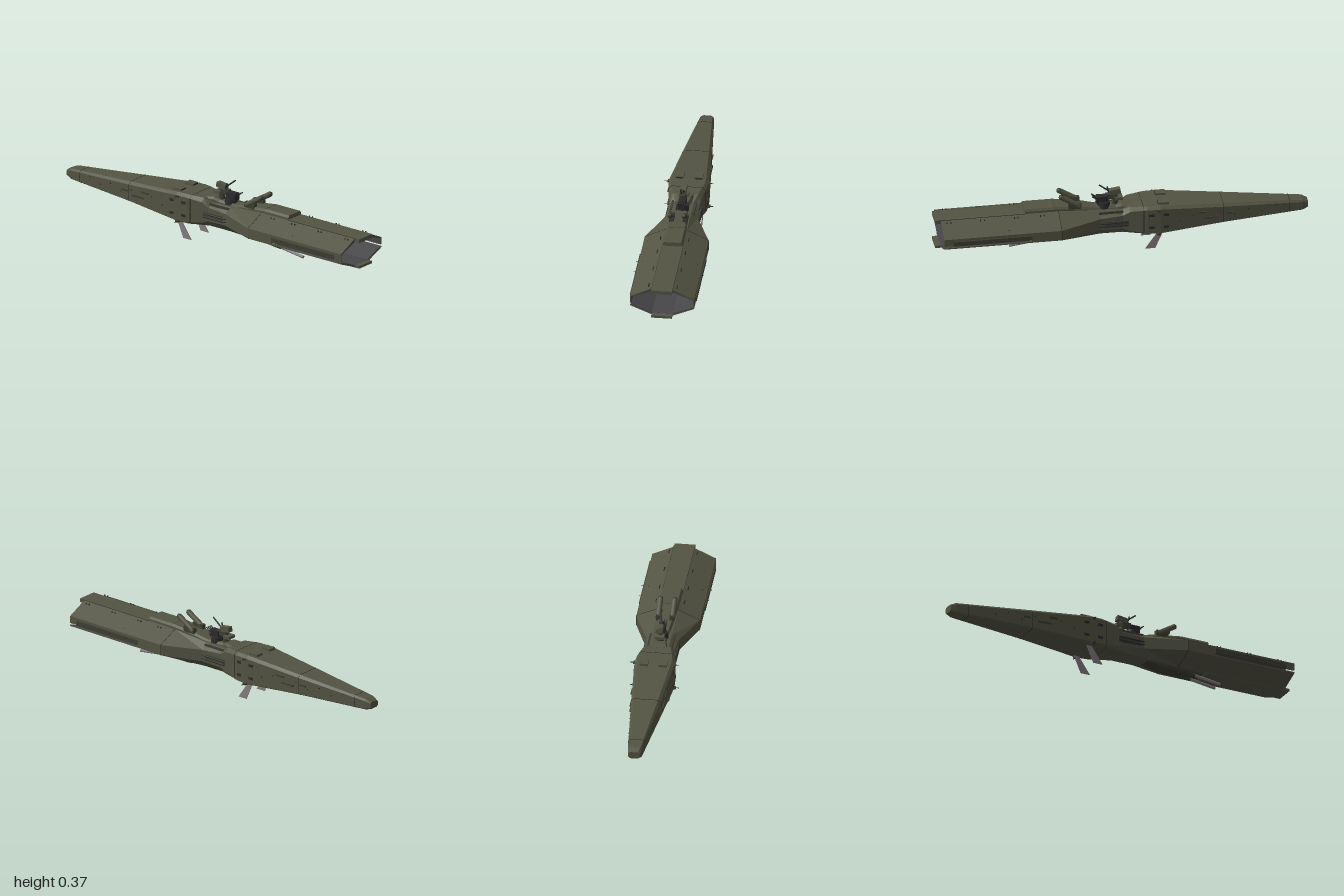
import * as THREE from 'three';

const mat = (name, color, side = THREE.FrontSide) => {
  const m = new THREE.MeshStandardMaterial({ color, side });
  m.name = name;
  return m;
};

// Hull stations: z, top half-width, top y, side half-width, side top y, side bottom y, bottom half-width, bottom y
const STATIONS = [
  [-1.0, 0.02, 0.183, 0.03, 0.175, 0.152, 0.02, 0.145],
  [-0.97, 0.03, 0.195, 0.037, 0.185, 0.142, 0.028, 0.135],
  [-0.54, 0.064, 0.231, 0.078, 0.217, 0.126, 0.062, 0.117],
  [-0.2, 0.09, 0.259, 0.106, 0.245, 0.104, 0.09, 0.094],
  [-0.13, 0.086, 0.259, 0.102, 0.244, 0.106, 0.086, 0.095],
  [-0.04, 0.066, 0.255, 0.086, 0.235, 0.12, 0.07, 0.103],
  [0.0, 0.05, 0.232, 0.08, 0.212, 0.135, 0.06, 0.105],
  [0.12, 0.05, 0.235, 0.086, 0.205, 0.14, 0.056, 0.103],
  [0.34, 0.055, 0.255, 0.17, 0.2, 0.143, 0.055, 0.095],
  [0.5, 0.055, 0.255, 0.17, 0.2, 0.143, 0.055, 0.095],
];

// Interpolated station at any z
function stationAt(z) {
  let i = 0;
  while (i < STATIONS.length - 2 && STATIONS[i + 1][0] < z) i++;
  const a = STATIONS[i], b = STATIONS[i + 1], t = (z - a[0]) / (b[0] - a[0]);
  return a.map((v, k) => v + (b[k] - v) * t);
}

// Counter-clockwise ring, optionally pushed outwards
function ring([z, tw, ty, sw, st, sb, bw, by], g = 0) {
  const half = [[bw + g / 2, by - g], [sw + g, sb - g / 2], [sw + g, st + g / 2], [tw + g / 2, ty + g]];
  const left = half.slice().reverse().map(([x, y]) => [-x, y]);
  return [...half, ...left].map(([x, y]) => [x, y, z]);
}

// Flat-shaded loft through rings running towards +z, closed at both ends
function loft(rings) {
  const n = rings[0].length, idx = [];
  for (let i = 0; i < rings.length - 1; i++)
    for (let j = 0; j < n; j++) {
      const a = i * n + j, b = i * n + (j + 1) % n;
      idx.push(a, b, b + n, a, b + n, a + n);
    }
  const e = (rings.length - 1) * n;
  for (let j = 1; j < n - 1; j++) idx.push(0, j + 1, j, e, e + j, e + j + 1);
  const g = new THREE.BufferGeometry();
  g.setAttribute('position', new THREE.Float32BufferAttribute(rings.flat(2), 3));
  g.setIndex(idx);
  const flat = g.toNonIndexed();
  flat.computeVertexNormals();
  return flat;
}

// Half profile mirrored across x = 0 and extruded along z
function prism(half, z0, z1) {
  const pts = [...half, ...half.slice().reverse().map(([x, y]) => [-x, y])];
  const shape = new THREE.Shape(pts.map(([x, y]) => new THREE.Vector2(x, y)));
  const g = new THREE.ExtrudeGeometry(shape, { depth: z1 - z0, bevelEnabled: false });
  return g.translate(0, 0, z0);
}

export function createModel() {
  const root = new THREE.Group();
  root.name = 'spaceship';
  const hull = mat('olive hull', 0x535443);
  const trim = mat('dark olive', 0x3d3e33);
  const dark = mat('dark steel', 0x2b2b2b);
  const inner = mat('grey lining', 0x47474a);
  const glow = mat('engine yellow', 0xd8cd22);
  const pale = mat('pale grey', 0x857e82, THREE.DoubleSide);

  const add = (name, geo, m) => {
    const mesh = new THREE.Mesh(geo, m);
    mesh.name = name;
    root.add(mesh);
    return mesh;
  };
  const box = (name, m, x, y, z, w, h, d) => {
    const b = add(name, new THREE.BoxGeometry(w, h, d), m);
    b.position.set(x, y, z);
    return b;
  };
  // Round bar between two points
  const bar = (name, m, a, b, r0, r1 = r0, sides = 12) => {
    const p = new THREE.Vector3(...a), q = new THREE.Vector3(...b), d = q.clone().sub(p);
    const c = add(name, new THREE.CylinderGeometry(r1, r0, d.length(), sides), m);
    c.position.copy(p).add(q).multiplyScalar(0.5);
    c.quaternion.setFromUnitVectors(new THREE.Vector3(0, 1, 0), d.normalize());
    return c;
  };

  // Bow, neck and shoulders
  add('mainHull', loft(STATIONS.map((s) => ring(s))), hull);
  for (const z of [-0.9, -0.54, -0.11, 0.34])
    add('panelSeam', loft([ring(stationAt(z - 0.0015), 0.0008), ring(stationAt(z + 0.0015), 0.0008)]), dark);

  // Open engine shell, split along the sides
  add('upperShell', prism([[0.055, 0.255], [0.17, 0.2], [0.17, 0.16], [0.167, 0.16], [0.167, 0.197], [0.055, 0.249]].reverse(), 0.5, 0.97), hull);
  add('lowerShell', prism([[0.055, 0.095], [0.17, 0.143], [0.17, 0.15], [0.167, 0.15], [0.167, 0.146], [0.055, 0.101]], 0.5, 0.97), hull);
  add('upperLining', prism([[0.055, 0.235], [0.163, 0.194], [0.163, 0.16], [0.1669, 0.16], [0.1669, 0.197], [0.055, 0.249]], 0.5, 0.968), inner);
  add('lowerLining', prism([[0.055, 0.101], [0.1669, 0.146], [0.1669, 0.15], [0.163, 0.15], [0.055, 0.107]], 0.5, 0.968), inner);
  add('engineGlow', prism([[0.055, 0.107], [0.163, 0.15], [0.163, 0.194], [0.055, 0.235]], 0.501, 0.506), glow);
  box('topSpine', hull, 0, 0.2465, 0.752, 0.11, 0.021, 0.496);
  box('bottomSpine', hull, 0, 0.0995, 0.752, 0.11, 0.013, 0.496);

  // Raised deck house with a sloped leading end
  const deck = (z, w, y) => [[w, 0.225, z], [w, y - 0.012, z], [w - 0.008, y, z], [-w + 0.008, y, z], [-w, y - 0.012, z], [-w, 0.225, z]];
  add('deckHouse', loft([deck(0.1, 0.034, 0.238), deck(0.21, 0.044, 0.262), deck(0.36, 0.054, 0.279), deck(0.52, 0.054, 0.279)]), hull);
  box('deckSeam', trim, 0, 0.2792, 0.36, 0.09, 0.001, 0.003);

  // Belly box with twin guns
  const belly = (z, w, y) => [[w, y, z], [w + 0.01, 0.11, z], [-w - 0.01, 0.11, z], [-w, y, z]];
  add('bellyHousing', loft([belly(0.16, 0.03, 0.1), belly(0.26, 0.036, 0.08), belly(0.42, 0.036, 0.08), belly(0.5, 0.032, 0.093)]), trim);

  // Command platform in the neck
  add('towerBase', loft([deck(-0.05, 0.05, 0.256), deck(0.0, 0.04, 0.26), deck(0.03, 0.032, 0.25), deck(0.14, 0.03, 0.245)]), hull);
  bar('gunRing', dark, [0, 0.235, 0.09], [0, 0.268, 0.09], 0.036, 0.032, 16);
  box('gunCradle', dark, 0, 0.28, 0.1, 0.036, 0.04, 0.06);
  box('gunBreech', trim, 0, 0.295, 0.06, 0.024, 0.03, 0.04);
  bar('towerColumn', trim, [0, 0.25, 0.03], [0, 0.31, 0.03], 0.018, 0.014, 10);
  const head = box('towerHead', hull, 0, 0.322, 0.03, 0.03, 0.028, 0.06);
  head.rotation.x = 0.15;
  box('towerVisor', hull, 0, 0.285, 0.01, 0.05, 0.016, 0.04);
  bar('tallBarrel', dark, [0.005, 0.325, 0.06], [0.005, 0.368, 0.115], 0.004);
  bar('shortBarrel', dark, [-0.011, 0.31, 0.06], [-0.011, 0.345, 0.07], 0.004);
  for (const x of [-0.018, -0.006, 0.006, 0.018])
    bar('deckGunBarrel', dark, [x, 0.28, 0.12], [x, 0.305, 0.152], 0.003, 0.003, 8);

  for (const s of [-1, 1]) {
    // Elevated twin cannons with rounded muzzles
    bar('cannon', hull, [s * 0.038, 0.27, 0.225], [s * 0.038, 0.329, 0.322], 0.0145, 0.0145, 16);
    const cap = add('cannonMuzzle', new THREE.SphereGeometry(0.0145, 16, 10), trim);
    cap.position.set(s * 0.038, 0.329, 0.322);
    box('cannonMount', trim, s * 0.036, 0.272, 0.25, 0.024, 0.03, 0.07);
    bar('bellyGun', pale, [s * 0.027, 0.086, 0.4], [s * 0.027, 0.058, 0.6], 0.008);
    bar('bellyGunSleeve', trim, [s * 0.027, 0.088, 0.36], [s * 0.027, 0.079, 0.45], 0.011);

    // Ventral fin
    const fin = new THREE.Shape([[-0.12, 0], [-0.175, 0], [-0.218, 0.1], [-0.19, 0.1]].map(([z, y]) => new THREE.Vector2(-z, y)));
    const finMesh = add('ventralFin', new THREE.ExtrudeGeometry(fin, { depth: 0.003, bevelEnabled: false }), pale);
    finMesh.rotation.y = Math.PI / 2;
    finMesh.position.x = s * 0.073 - 0.0015;

    // Bow hatches, side pegs and vents
    box('bowHatch', hull, s * 0.051, 0.262, -0.22, 0.044, 0.014, 0.055);
    box('hatchSlot', dark, s * 0.051, 0.264, -0.191, 0.034, 0.006, 0.003);
    for (const y of [0.1, 0.24]) {
      bar('sidePeg', dark, [s * 0.09, y, -0.19], [s * 0.13, y, -0.19], 0.003, 0.002, 8);
      box('pegSocket', trim, s * 0.104, y, -0.19, 0.018, 0.01, 0.02);
    }
    for (const [y, z] of [[0.212, -0.23], [0.212, -0.15], [0.14, -0.23], [0.14, -0.15]])
      box('sideVent', dark, s * (stationAt(z)[3] - 0.001), y, z, 0.008, 0.014, 0.028);
    for (const [y, z, d] of [[0.18, -0.57, 0.04], [0.165, -0.47, 0.08], [0.2, -0.42, 0.05]])
      box('bowBlister', trim, s * stationAt(z)[3], y, z, 0.012, 0.008, d);
    for (let k = 0; k < 9; k++) {
      const z = -0.9 + k * 0.075;
      box('porthole', dark, s * stationAt(z)[3], k % 2 ? 0.19 : 0.165, z, 0.004, 0.006, 0.006);
    }

    // Neck sponson with side guns
    box('sponson', trim, s * 0.078, 0.168, 0.035, 0.022, 0.034, 0.13);
    for (const y of [0.16, 0.177])
      bar('sponsonGun', dark, [s * 0.09, y, -0.03], [s * 0.09, y, 0.12], 0.004, 0.004, 8);
    box('neckRail', trim, s * 0.062, 0.226, 0.06, 0.01, 0.014, 0.13);

    // Engine side rails, pegs and roof studs
    box('sideRail', trim, s * 0.172, 0.173, 0.71, 0.01, 0.026, 0.42);
    for (const z of [0.57, 0.68])
      bar('railPeg', dark, [s * 0.17, 0.182, z], [s * 0.187, 0.182, z], 0.0015, 0.0015, 6);
    bar('wingAerial', dark, [s * 0.145, 0.205, 0.62], [s * 0.145, 0.217, 0.62], 0.0015, 0.0015, 6);
    for (const z of [0.42, 0.56, 0.74, 0.92])
      for (const k of [0, 1])
        box('roofStud', dark, s * 0.075, 0.247, z + k * 0.02, 0.005, 0.012, 0.005);

    // Seam where the spine meets the wing roofs
    box('spineSeam', dark, s * 0.0555, 0.2555, 0.75, 0.002, 0.002, 0.46);
  }
  return root;
}
